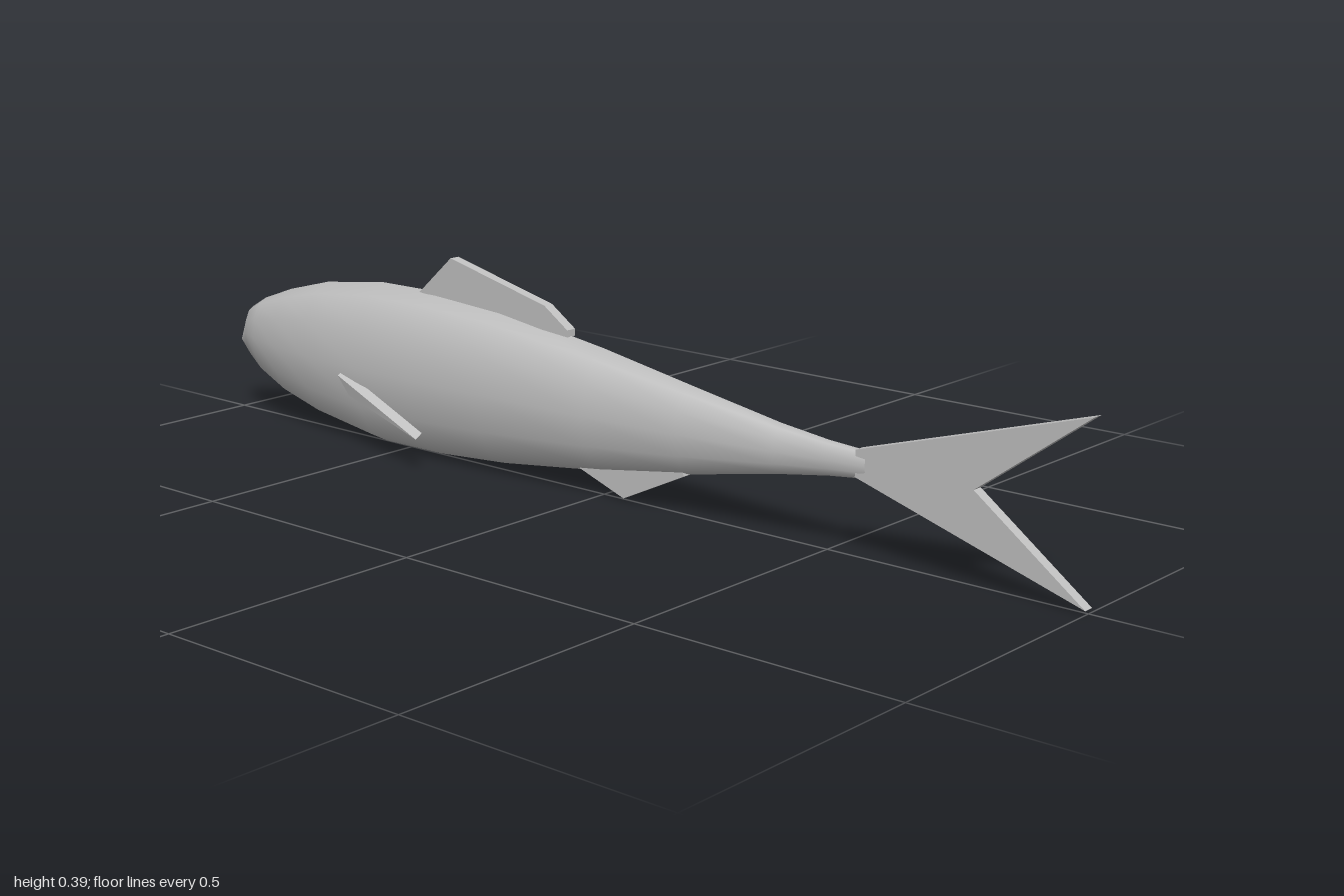
import * as THREE from 'three';

const SIDES = 12;
const FIN_THICKNESS = 0.021;

// Body cross-sections: z, bottom y, top y, half width
const RINGS = [
  [-1, 0.145, 0.145, 0],
  [-0.96, 0.115, 0.22, 0.024],
  [-0.92, 0.088, 0.243, 0.038],
  [-0.84, 0.055, 0.272, 0.056],
  [-0.73, 0.027, 0.301, 0.072],
  [-0.57, 0.003, 0.321, 0.082],
  [-0.42, 0.004, 0.322, 0.083],
  [-0.25, 0.016, 0.311, 0.078],
  [0, 0.047, 0.275, 0.062],
  [0.2, 0.078, 0.24, 0.044],
  [0.4, 0.116, 0.206, 0.026],
  [0.5, 0.132, 0.194, 0.017],
  [0.58, 0.141, 0.189, 0.012],
  // doubled ring and centre point close the tail end with a crisp edge
  [0.58, 0.141, 0.189, 0.012],
  [0.58, 0.165, 0.165, 0],
];

function bodyGeometry() {
  const pos = [], index = [];
  RINGS.forEach(([z, lo, hi, w], k) => {
    for (let i = 0; i < SIDES; i++) {
      const a = (i / SIDES) * Math.PI * 2;
      pos.push(w * Math.sin(a), (lo + hi) / 2 + ((hi - lo) / 2) * Math.cos(a), z);
      if (k === RINGS.length - 1) continue;
      const p = k * SIDES + i, q = k * SIDES + ((i + 1) % SIDES);
      index.push(p, p + SIDES, q, q, p + SIDES, q + SIDES);
    }
  });
  const g = new THREE.BufferGeometry();
  g.setAttribute('position', new THREE.Float32BufferAttribute(pos, 3));
  g.setIndex(index);
  g.computeVertexNormals();
  return g;
}

// Flat fin on the centre plane, outlined by [z, y] points
function finGeometry(points) {
  const shape = new THREE.Shape(points.map(([z, y]) => new THREE.Vector2(z, y)));
  const g = new THREE.ExtrudeGeometry(shape, { depth: FIN_THICKNESS, bevelEnabled: false });
  g.rotateY(-Math.PI / 2);
  g.translate(FIN_THICKNESS / 2, 0, 0);
  return g;
}

// Slanted triangular side fin; side is +1 for left, -1 for right
function sideFinGeometry(side) {
  const outer = [[0.085, 0.143, -0.615], [0.125, 0.067, -0.36], [0.085, 0.108, -0.585]];
  const inner = outer.map(([x, y, z]) => [x - 0.02, y + 0.008, z - 0.004]);
  const pos = [...outer, ...inner].flatMap(([x, y, z]) => [x * side, y, z]);
  const index = [0, 1, 2, 3, 5, 4];
  for (let i = 0; i < 3; i++) {
    const j = (i + 1) % 3;
    index.push(i, i + 3, j + 3, i, j + 3, j);
  }
  if (side < 0) index.reverse();
  const g = new THREE.BufferGeometry();
  g.setAttribute('position', new THREE.Float32BufferAttribute(pos, 3));
  g.setIndex(index);
  const flat = g.toNonIndexed();
  flat.computeVertexNormals();
  return flat;
}

export function createModel() {
  const model = new THREE.Group();
  model.name = 'fish';
  const grey = new THREE.MeshStandardMaterial({ color: 0xc0c0c0 });
  grey.name = 'fish grey';

  const add = (name, geometry) => {
    const mesh = new THREE.Mesh(geometry, grey);
    mesh.name = name;
    model.add(mesh);
  };

  add('body', bodyGeometry());
  add('tailFin', finGeometry([[0.56, 0.143], [1, 0.01], [0.79, 0.165], [1, 0.32], [0.56, 0.19]]));
  add('dorsalFin', finGeometry([[-0.46, 0.318], [-0.08, 0.285], [-0.08, 0.298], [-0.136, 0.336], [-0.375, 0.394]]));
  add('bellyFin', finGeometry([[-0.05, 0.045], [0.055, 0.008], [0.195, 0.075], [0.19, 0.09], [-0.04, 0.06]]));
  add('leftSideFin', sideFinGeometry(1));
  add('rightSideFin', sideFinGeometry(-1));
  return model;
}
